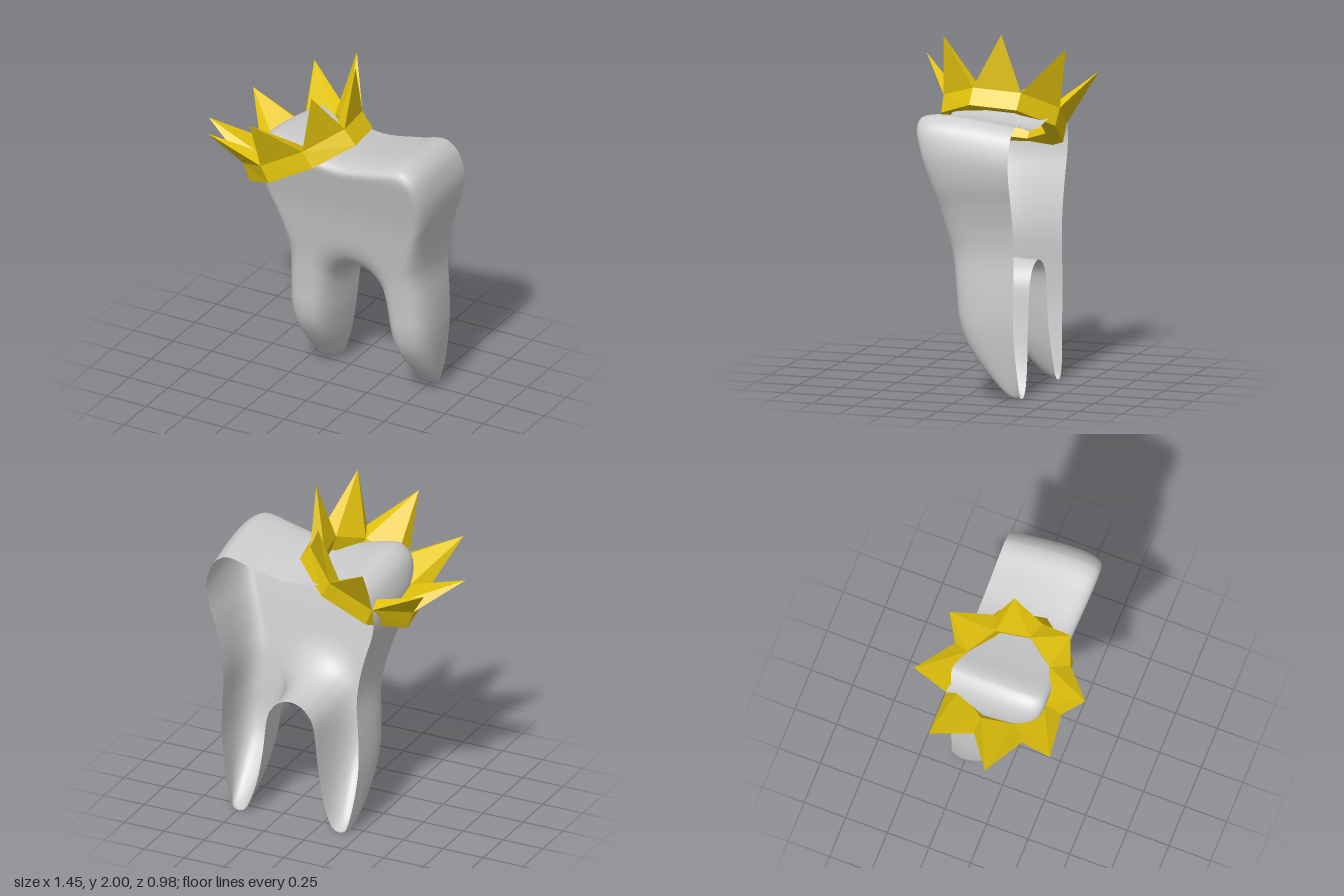
import * as THREE from 'three';

const CX = 0.18;

// Half outline of the tooth: edge x, y, matching midline x, y, edge rounding
const HALF = [
  [0.18, 1.54, 0.18, 1.17, 0.12], [-0.05, 1.575, 0.05, 1.17, 0.12], [-0.2, 1.61, -0.05, 1.13, 0.12],
  [-0.27, 1.595, -0.05, 1.13, 0.12], [-0.33, 1.53, -0.05, 1.13, 0.12], [-0.36, 1.4, -0.05, 1.12, 0.12],
  [-0.345, 1.25, -0.06, 1.08, 0.12], [-0.3, 1.1, -0.08, 1.0, 0.12], [-0.265, 0.95, -0.09, 0.9, 0.12],
  [-0.25, 0.8, -0.1, 0.8, 0.13], [-0.26, 0.6, -0.11, 0.6, 0.13], [-0.26, 0.4, -0.125, 0.4, 0.13],
  [-0.235, 0.2, -0.135, 0.2, 0.13], [-0.2, 0.05, -0.147, 0.08, 0.1], [-0.17, 0.003, -0.147, 0.05, 0.1],
  [-0.12, 0.003, -0.147, 0.05, 0.1], [-0.08, 0.05, -0.147, 0.08, 0.1], [-0.03, 0.2, -0.135, 0.2, 0.13],
  [0.005, 0.4, -0.125, 0.4, 0.14], [0.03, 0.6, -0.11, 0.62, 0.17], [0.07, 0.68, -0.09, 0.9, 0.23],
  [0.12, 0.72, -0.04, 1.13, 0.27], [0.18, 0.735, 0.18, 1.17, 0.28],
];

// Front depth by height
const frontZ = new THREE.CubicInterpolant(
  [0, 0.03, 0.1, 0.2, 0.33, 0.45, 0.6, 0.8, 1.0, 1.2, 1.4, 1.5, 1.62],
  [-0.28, -0.24, -0.17, -0.085, 0, 0.035, 0.05, 0.075, 0.115, 0.16, 0.225, 0.255, 0.255], 1);

function toothGeometry() {
  const mirrored = HALF.slice(1, -1).reverse().map(([x, y, mx, my, r]) => [2 * CX - x, y, 2 * CX - mx, my, r]);
  const loop = [...HALF, ...mirrored];
  const curve = (f) => new THREE.CatmullRomCurve3(loop.map(f), true, 'catmullrom', 0.5);
  const edge = curve(([x, y]) => new THREE.Vector3(x, y, 0));
  const mid = curve(([, , x, y, r]) => new THREE.Vector3(x, y, r));
  const N = loop.length * 5, RINGS = 26, POWER = 3;
  const pos = [], idx = [];
  // Rings run from the open back edge inward, slightly past the midline
  for (let k = 0; k <= RINGS; k++) {
    const t = 1.1 * Math.pow(k / RINGS, 2.8);
    for (let s = 0; s < N; s++) {
      const e = edge.getPoint(s / N), m = mid.getPoint(s / N);
      const dist = Math.hypot(m.x - e.x, m.y - e.y);
      const d = Math.min(1, t * dist / Math.min(m.z, dist));
      const f = Math.pow(1 - Math.pow(1 - d, POWER), 1 / POWER);
      const x = e.x + (m.x - e.x) * t, y = e.y + (m.y - e.y) * t;
      const back = -0.31 - 0.015 * (1 - THREE.MathUtils.smoothstep(y, 0, 0.4));
      const z = back + (frontZ.evaluate(y)[0] - back) * f;
      // The shell widens and rises towards the front
      const flare = 1 + (0.09 * f - 0.03) * (1 - t / 1.1);
      const rise = (0.095 * f - 0.055) * THREE.MathUtils.smoothstep(y, 1.15, 1.55);
      pos.push(CX + (x - CX) * flare, y + rise, z);
      if (k < RINGS) {
        const a = k * N + s, b = k * N + (s + 1) % N;
        idx.push(a, b, a + N, b, b + N, a + N);
      }
    }
  }
  const g = new THREE.BufferGeometry();
  g.setAttribute('position', new THREE.Float32BufferAttribute(pos, 3));
  g.setIndex(idx);
  g.computeVertexNormals();
  return g;
}

function crownGeometry() {
  const SIDES = 8, STEP = Math.PI * 2 / SIDES, START = THREE.MathUtils.degToRad(13.5);
  // Band section: radius along x, radius along z, height, z offset
  const section = [[0.39, 0.352, 0, 0], [0.37, 0.36, 0.11, 0], [0.27, 0.26, 0.11, -0.018], [0.25, 0.23, 0.02, -0.018]];
  const at = ([rx, rz, h, dz], i) => {
    const a = START + i * STEP;
    return [rx * Math.cos(a), h, rz * Math.sin(a) + dz];
  };
  const pos = [];
  const tri = (...corners) => corners.forEach((c) => pos.push(...c));
  for (let i = 0; i < SIDES; i++) {
    section.forEach((p, j) => {
      const q = section[(j + 1) % section.length];
      const c = [at(p, i), at(q, i), at(q, i + 1), at(p, i + 1)];
      if (j === 1) {
        // Four-sided spike rising from the top of the band
        const tip = at([0.495, 0.495, 0.39, 0], i + 0.5);
        c.forEach((v, n) => tri(v, c[(n + 1) % 4], tip));
      } else {
        tri(c[0], c[1], c[2]);
        tri(c[0], c[2], c[3]);
      }
    });
  }
  const g = new THREE.BufferGeometry();
  g.setAttribute('position', new THREE.Float32BufferAttribute(pos, 3));
  g.computeVertexNormals();
  return g;
}

export function createModel() {
  const model = new THREE.Group();

  // Hollow tooth shell, open at the back
  const tooth = new THREE.Mesh(toothGeometry(),
    new THREE.MeshStandardMaterial({ color: 0xcccccc, side: THREE.DoubleSide }));
  tooth.name = 'tooth';

  // Crown tilted over one cusp
  const crown = new THREE.Mesh(crownGeometry(), new THREE.MeshStandardMaterial({ color: 0xe4c40c }));
  crown.name = 'crown';
  crown.position.set(-0.11, 1.42, 0);
  crown.rotation.z = THREE.MathUtils.degToRad(28.6);

  model.add(tooth, crown);
  return model;
}
